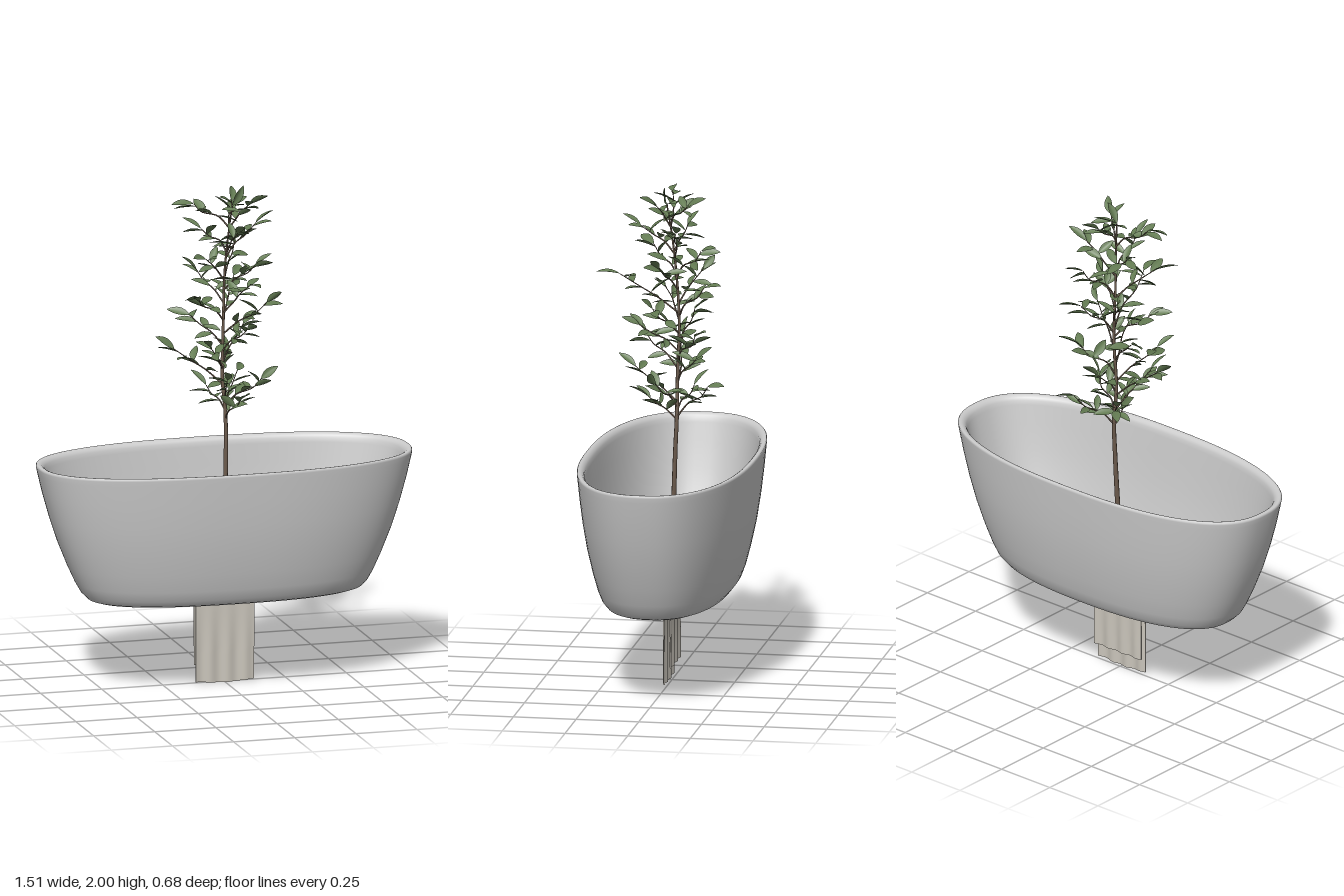
import * as THREE from 'three';
import { mergeGeometries } from 'three/addons/utils/BufferGeometryUtils.js';

const material = (color, side = THREE.FrontSide) =>
  new THREE.MeshStandardMaterial({ color, side });

function named(name, geometry, mat) {
  const mesh = new THREE.Mesh(geometry, mat);
  mesh.name = name;
  return mesh;
}

let seed = 11;
function rand(min, max) {
  seed = (seed * 16807) % 2147483647;
  return min + (max - min) * (seed / 2147483647);
}

// Oval shell lofted through rows of [y, x radius, z radius]
function ovalLoft(rows, segments) {
  const positions = [], index = [];
  const power = 2 / 2.4;
  const bulge = (v) => Math.sign(v) * Math.abs(v) ** power;
  rows.forEach(([y, rx, rz], r) => {
    for (let i = 0; i < segments; i++) {
      const a = (i / segments) * Math.PI * 2;
      positions.push(rx * bulge(Math.cos(a)), y, rz * bulge(Math.sin(a)));
      if (r === rows.length - 1) continue;
      const j = (i + 1) % segments, p = r * segments, q = p + segments;
      index.push(p + i, q + i, p + j, p + j, q + i, q + j);
    }
  });
  const g = new THREE.BufferGeometry();
  g.setAttribute('position', new THREE.Float32BufferAttribute(positions, 3));
  g.setIndex(index);
  g.computeVertexNormals();
  return g;
}

// Tube whose radius shrinks from r0 to r1 along the curve
function taperedTube(curve, steps, r0, r1, sides) {
  const g = new THREE.TubeGeometry(curve, steps, 1, sides, false);
  const pos = g.attributes.position, v = new THREE.Vector3();
  for (let i = 0; i < pos.count; i++) {
    const t = Math.floor(i / (sides + 1)) / steps;
    const c = curve.getPointAt(t);
    v.fromBufferAttribute(pos, i).sub(c).multiplyScalar(r0 + (r1 - r0) * t).add(c);
    pos.setXYZ(i, v.x, v.y, v.z);
  }
  return g;
}

// Pointed leaf along +y, folded at the midrib and curling at the tip
function leafGeometry() {
  const g = new THREE.PlaneGeometry(2, 1, 4, 8);
  const pos = g.attributes.position;
  for (let i = 0; i < pos.count; i++) {
    const t = pos.getY(i) + 0.5, side = pos.getX(i);
    const w = 0.19 * Math.max(0, Math.sin(Math.PI * t)) ** 0.85 + 0.008;
    pos.setXYZ(i, side * w, t, Math.abs(side) * w * 0.4 - 0.12 * t * t);
  }
  g.computeVertexNormals();
  return g;
}

// Cloth folded over inside the tub base: front hem, up, over and down to the back hem
function towelGeometry() {
  const frontZ = 0.014, backZ = -0.012, top = 0.354, backHem = 0.07;
  const r = (frontZ - backZ) / 2, mid = (frontZ + backZ) / 2;
  const arc = Math.PI * r, total = top + arc + (top - backHem);
  const g = new THREE.BoxGeometry(0.24, 1, 0.005, 32, 60, 1);
  const pos = g.attributes.position;
  for (let i = 0; i < pos.count; i++) {
    const x = pos.getX(i), off = pos.getZ(i);
    const s = (pos.getY(i) + 0.5) * total;
    const hang = Math.min(1, Math.abs(s - top - arc / 2) / 0.25);
    const wave = 0.004 * hang * Math.sin(x * 88 + 0.6);
    if (s < top) {
      pos.setXYZ(i, x, s + 0.006 * hang * Math.min(1, (x / 0.1) ** 2), frontZ + off + wave);
    } else if (s < top + arc) {
      const a = (s - top) / r;
      pos.setXYZ(i, x, top + Math.sin(a) * (r + off), mid + Math.cos(a) * (r + off));
    } else {
      pos.setXYZ(i, x, top - (s - top - arc), backZ - off + wave);
    }
  }
  g.computeVertexNormals();
  return g;
}

function createTree() {
  const tree = new THREE.Group();
  tree.name = 'tree';
  const bark = material(0x6c5b4d);
  const V = (x, y, z) => new THREE.Vector3(x, y, z);

  const trunk = new THREE.CatmullRomCurve3([
    V(0, 0.37, 0), V(0.004, 0.65, -0.006), V(0.012, 0.92, -0.015), V(0.012, 1.08, -0.022),
    V(0, 1.22, -0.022), V(0.006, 1.45, -0.03), V(0.008, 1.65, -0.018),
    V(0.02, 1.82, 0), V(0.03, 1.92, 0.015)]);
  tree.add(named('trunk', taperedTube(trunk, 60, 0.012, 0.003, 8), bark));

  // Branch tips from the lowest to the highest
  const tips = [
    [0.1, 1.21, -0.16], [0.14, 1.22, 0.04], [-0.03, 1.25, 0.15], [0.04, 1.15, 0.09],
    [-0.05, 1.18, -0.08], [0.03, 1.3, -0.1], [-0.2, 1.35, -0.01], [-0.09, 1.38, 0.12],
    [0.11, 1.41, -0.11], [-0.12, 1.47, -0.07], [0.06, 1.44, 0.12], [0.16, 1.53, 0.05],
    [-0.12, 1.56, 0.05], [0.08, 1.6, -0.14], [0.05, 1.64, 0.2], [-0.08, 1.64, -0.11],
    [0.12, 1.68, 0.03], [-0.1, 1.73, 0.09], [0.08, 1.75, -0.13], [-0.08, 1.82, -0.05],
    [0.14, 1.83, -0.04], [0.02, 1.83, 0.12], [-0.13, 1.94, 0.02], [0.09, 1.93, 0.05],
    [0.05, 1.92, -0.07]];
  const twigs = [], leaves = [], leaf = leafGeometry();

  function addLeaf(at, dir, length) {
    dir.normalize();
    dir.y = Math.min(dir.y, (1.985 - at.y) / length);
    dir.normalize();
    const face = V(rand(-0.8, 0.8), 1, rand(-0.8, 0.8));
    const side = dir.clone().cross(face).normalize();
    face.crossVectors(side, dir);
    const m = new THREE.Matrix4().makeBasis(side, dir, face)
      .scale(V(length, length, length)).setPosition(at);
    leaves.push(leaf.clone().applyMatrix4(m));
  }

  for (const [x, y, z] of tips) {
    const tip = V(x, y, z), reach = Math.hypot(x, z);
    const rootY = y - 0.04 - reach * 0.6;
    const root = trunk.getPoint(0);
    for (let t = 0.3; t < 1 && root.y < rootY; t += 0.005) trunk.getPointAt(t, root);
    const curve = new THREE.CatmullRomCurve3([
      root,
      root.clone().lerp(tip, 0.35).add(V(rand(-0.012, 0.012), 0.012, rand(-0.012, 0.012))),
      root.clone().lerp(tip, 0.7).add(V(rand(-0.012, 0.012), -0.004, rand(-0.012, 0.012))),
      tip]);
    twigs.push(taperedTube(curve, 10, 0.0038, 0.0016, 5));
    const along = tip.clone().sub(root).normalize();
    const spin = rand(0, 6.28);
    for (let i = 0; i < 5; i++) {
      const a = spin + i * 2.4 + rand(-0.4, 0.4);
      const dir = V(Math.cos(a), rand(-0.45, 0.6), Math.sin(a)).addScaledVector(along, 0.45);
      addLeaf(curve.getPointAt(0.35 + i * 0.14), dir, rand(0.07, 0.095));
    }
    addLeaf(tip, along.clone().add(V(0, rand(-0.5, 0.1), 0)), rand(0.075, 0.095));
  }
  // Shoots at the very top
  addLeaf(trunk.getPoint(1), V(0.5, 1, 0.1), 0.09);
  addLeaf(trunk.getPoint(1), V(0.9, 0.4, -0.6), 0.09);

  tree.add(named('branches', mergeGeometries(twigs), bark));
  tree.add(named('leaves', mergeGeometries(leaves), material(0x647c53, THREE.DoubleSide)));
  return tree;
}

export function createModel() {
  const model = new THREE.Group();
  model.name = 'planterTub';
  const grey = material(0xcccccc);

  // Tub: underside, outer wall, rounded rim, inner wall, floor
  const tub = ovalLoft([
    [0.358, 0.0001, 0.0001], [0.358, 0.3, 0.12], [0.358, 0.49, 0.195], [0.36, 0.53, 0.215],
    [0.368, 0.555, 0.235], [0.39, 0.577, 0.252], [0.43, 0.6, 0.267], [0.5, 0.632, 0.285],
    [0.6, 0.672, 0.306], [0.7, 0.705, 0.321], [0.8, 0.733, 0.332], [0.88, 0.752, 0.339],
    [0.9, 0.756, 0.341], [0.906, 0.756, 0.341], [0.91, 0.753, 0.338], [0.911, 0.749, 0.334],
    [0.91, 0.742, 0.328], [0.907, 0.735, 0.322], [0.901, 0.728, 0.316], [0.892, 0.722, 0.311],
    [0.875, 0.717, 0.308], [0.8, 0.697, 0.3], [0.7, 0.668, 0.288], [0.6, 0.634, 0.272],
    [0.5, 0.592, 0.25], [0.43, 0.56, 0.232], [0.4, 0.535, 0.217], [0.386, 0.505, 0.203],
    [0.381, 0.46, 0.182], [0.38, 0.25, 0.1], [0.38, 0.0001, 0.0001]], 96);
  model.add(named('tub', tub, grey));

  // Faint oval ring set into the tub floor
  const ring = new THREE.TorusGeometry(0.215, 0.004, 6, 64);
  ring.rotateX(Math.PI / 2).scale(1, 0.4, 0.78).translate(0, 0.38, 0);
  model.add(named('floorRing', ring, grey));

  model.add(named('towel', towelGeometry(), material(0xcac5bb)));
  model.add(createTree());
  return model;
}
